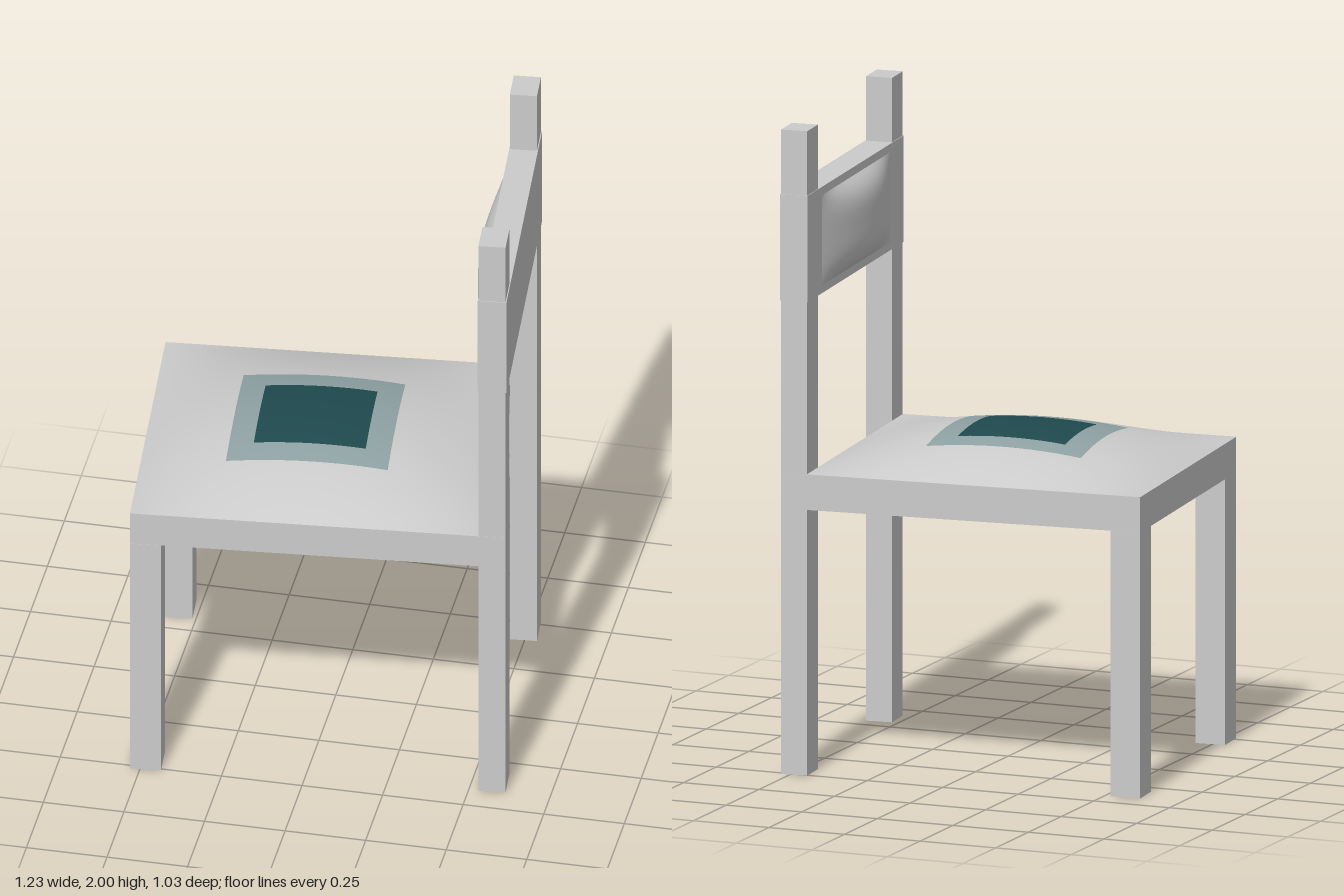
import * as THREE from 'three';

const mat = (color) => new THREE.MeshStandardMaterial({ color, side: THREE.DoubleSide });
const wood = mat(0xcccccc);

// Box given by its min and max on each axis
function block(name, [x0, x1], [y0, y1], [z0, z1]) {
  const mesh = new THREE.Mesh(new THREE.BoxGeometry(x1 - x0, y1 - y0, z1 - z0), wood);
  mesh.name = name;
  mesh.position.set((x0 + x1) / 2, (y0 + y1) / 2, (z0 + z1) / 2);
  return mesh;
}

// Smooth padded panel, bulging along +z
function padGeometry(w, h, rise, powU, powV) {
  const geo = new THREE.PlaneGeometry(w, h, 28, 24);
  const p = geo.attributes.position;
  for (let i = 0; i < p.count; i++) {
    const u = Math.abs(p.getX(i)) / (w / 2), v = Math.abs(p.getY(i)) / (h / 2);
    p.setZ(i, rise * (1 - u ** powU) * (1 - v ** powV));
  }
  geo.computeVertexNormals();
  return geo;
}

// Keep only the triangles whose centre passes a test
function pick(geo, test) {
  const part = geo.clone(), p = geo.attributes.position, src = geo.index.array, kept = [];
  for (let i = 0; i < src.length; i += 6) {
    const quad = Array.from(src.slice(i, i + 6));
    const x = (p.getX(quad[1]) + p.getX(quad[4])) / 2;
    const z = (p.getZ(quad[1]) + p.getZ(quad[4])) / 2;
    if (test(x, z)) kept.push(...quad);
  }
  part.setIndex(kept);
  return part;
}

export function createModel() {
  const chair = new THREE.Group();
  chair.name = 'chair';
  const X = 0.575, Z = 0.466, legZ = 0.106, railBottom = 0.825, seatTop = 0.935;
  const inner = 0.49; // inner face of the back posts

  // Legs, posts and side rails, mirrored
  for (const s of [1, -1]) {
    const side = s > 0 ? 'left' : 'right';
    const span = (a, b) => (s > 0 ? [a, b] : [-b, -a]);
    chair.add(
      block(side + 'BackPost', [inner, X - 0.002], [0, 2], span(Z - legZ, Z - 0.002)),
      block(side + 'FrontLeg', [-X, -X + 0.095], [0, railBottom], span(Z - legZ, Z)),
      block(side + 'SideRail', [-X, X - 0.003], [railBottom, seatTop], span(Z - legZ, Z - 0.001)),
    );
  }

  // Front rail, seat plate and back slat
  chair.add(
    block('frontRail', [-X, -X + 0.095], [railBottom, seatTop], [-Z + legZ, Z - legZ]),
    block('seatPlate', [-X + 0.095, inner], [0.895, seatTop], [-Z + legZ, Z - legZ]),
    block('backSlat', [inner - 0.002, X + 0.001], [1.47, 1.8], [-Z - 0.001, Z + 0.001]),
  );

  // Domed seat cushion with a dark centre fading outwards
  const seat = padGeometry(X + inner, 2 * Z, 0.1, 2, 2);
  seat.rotateX(-Math.PI / 2);
  const ring = (x, z) => Math.max(Math.abs(x + 0.01) / 0.17, Math.abs(z - 0.01) / 0.165);
  const tones = [
    ['seatCushion', 0xcccccc, 1.4, 99],
    ['seatCushionFade', 0x8fa2a4, 1, 1.4],
    ['seatCushionCentre', 0x1f4a4e, -1, 1],
  ];
  for (const [name, color, lo, hi] of tones) {
    const mesh = new THREE.Mesh(pick(seat, (x, z) => ring(x, z) >= lo && ring(x, z) < hi), mat(color));
    mesh.name = name;
    mesh.position.set((inner - X) / 2, seatTop + 0.001, 0);
    chair.add(mesh);
  }

  // Small pad on the inner face of the back slat
  const backPad = new THREE.Mesh(padGeometry(0.66, 0.28, 0.044, 2, 4), wood);
  backPad.name = 'backPad';
  backPad.rotation.y = -Math.PI / 2;
  backPad.position.set(inner - 0.003, 1.635, 0);
  chair.add(backPad);

  // The whole chair stands slightly turned
  chair.rotation.y = 0.091;
  const model = new THREE.Group();
  model.add(chair);
  return model;
}
